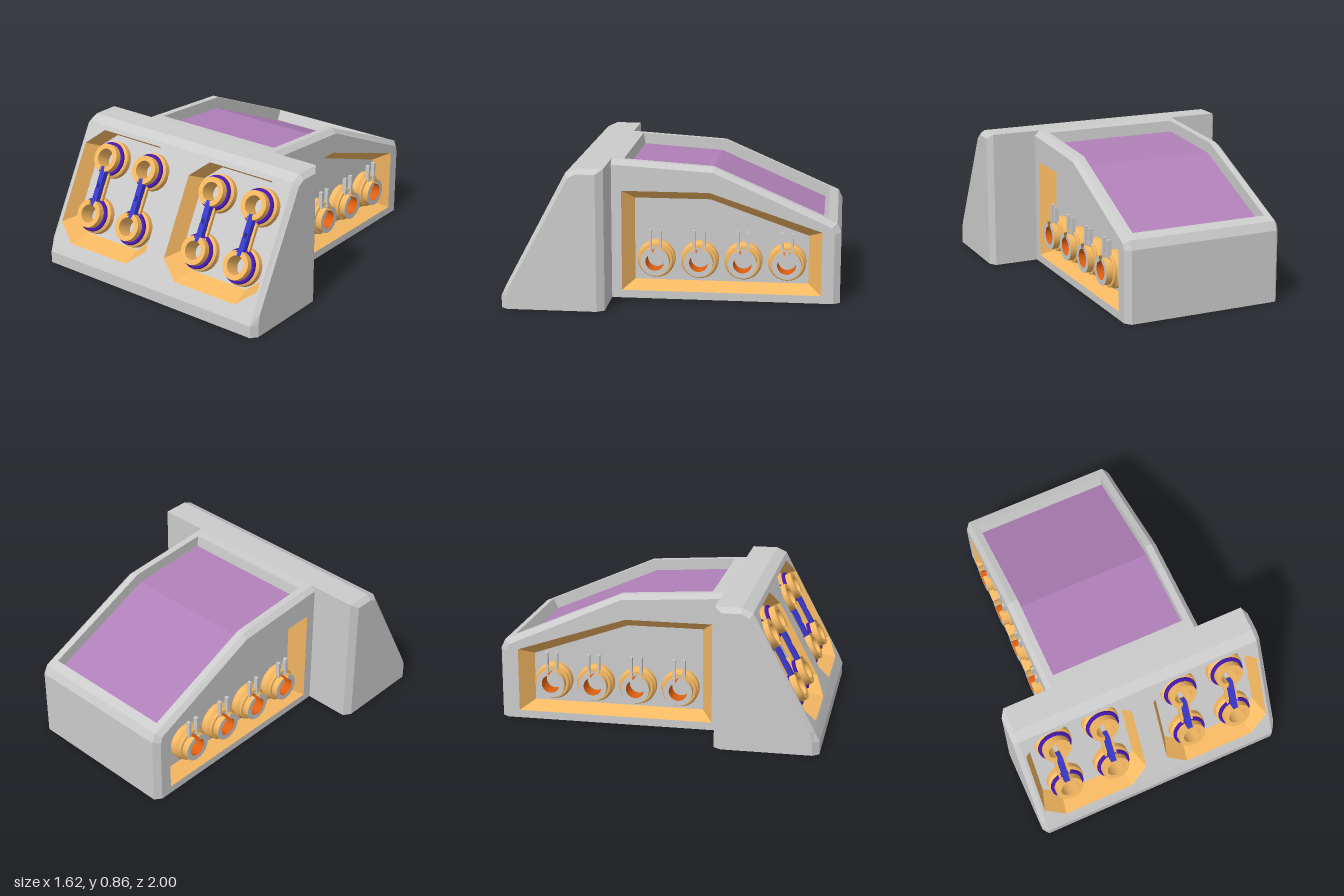
import * as THREE from 'three';

const mat = (color, flatShading = true) =>
  new THREE.MeshStandardMaterial({ color, flatShading, side: THREE.DoubleSide });
const grey = mat(0xcccccc), gold = mat(0xf5b862), purple = mat(0xb080b8);
const smoothGold = mat(0xf5b862, false), blue = mat(0x3a3ad0), indigo = mat(0x4418b0, false);
const orange = mat(0xe06010, false);

function add(parent, name, geometry, material) {
  const mesh = new THREE.Mesh(geometry, material);
  mesh.name = name;
  parent.add(mesh);
  return mesh;
}

// Surface through rows of [x, y, z] points; skip(row, column) leaves openings
function grid(rows, skip = () => false) {
  const pos = [];
  for (let i = 0; i < rows.length - 1; i++)
    for (let j = 0; j < rows[i].length - 1; j++) {
      if (skip(i, j)) continue;
      const a = rows[i][j], b = rows[i + 1][j], c = rows[i + 1][j + 1], d = rows[i][j + 1];
      pos.push(...a, ...b, ...c, ...a, ...c, ...d);
    }
  const g = new THREE.BufferGeometry();
  g.setAttribute('position', new THREE.Float32BufferAttribute(pos, 3));
  g.computeVertexNormals();
  return g;
}

// Flat outline with holes, carried into space by map(u, v) -> [x, y, z]
function plate(outline, holes, map) {
  const v2 = pts => pts.map(p => new THREE.Vector2(...p));
  const shape = new THREE.Shape(v2(outline));
  shape.holes = holes.map(h => new THREE.Path(v2(h)));
  const g = new THREE.ShapeGeometry(shape), p = g.attributes.position;
  for (let i = 0; i < p.count; i++) p.setXYZ(i, ...map(p.getX(i), p.getY(i)));
  g.computeVertexNormals();
  return g;
}

const closed = (pts, map) => [...pts, pts[0]].map(p => map(...p));

function octagon(cx, h, y0, y1, cutX, cutY) {
  return [[cx - h, y0 + cutY], [cx - h + cutX, y0], [cx + h - cutX, y0], [cx + h, y0 + cutY],
    [cx + h, y1 - cutY], [cx + h - cutX, y1], [cx - h + cutX, y1], [cx - h, y1 - cutY]];
}

// Ring collar along +z with a slot at the top
function collar(name, rimMat, boreMat, bandMat) {
  const g = new THREE.Group(), gap = 0.25;
  g.name = name;
  const lathe = (part, pts, material, slotted) => add(g, part,
    new THREE.LatheGeometry(pts.map(p => new THREE.Vector2(...p)), 40,
      slotted ? Math.PI + gap : 0, 2 * Math.PI - (slotted ? 2 * gap : 0)).rotateX(Math.PI / 2), material);
  lathe('collarBase', [[0.115, 0], [0.115, 0.035]], smoothGold);
  lathe('collarShoulder', [[0.115, 0.035], [0.1, 0.05]], smoothGold);
  lathe('collarBand', [[0.1, 0.05], [0.105, 0.054], [0.105, 0.066], [0.1, 0.07], [0.085, 0.07]], bandMat);
  lathe('collarSide', [[0.087, 0.05], [0.087, 0.11]], smoothGold, true);
  lathe('collarRim', [[0.087, 0.11], [0.056, 0.11]], rimMat, true);
  lathe('collarBore', [[0.056, 0.11], [0.056, 0]], boreMat, true);
  return g;
}

function bar(parent, name, w, h, d, x, y, z, material) {
  add(parent, name, new THREE.BoxGeometry(w, h, d), material).position.set(x, y, z);
}

// Two collars joined by rods and a windowed link
function linkedPair() {
  const g = new THREE.Group();
  g.name = 'linkedCollars';
  for (const s of [-1, 1]) {
    const ring = collar('collar', smoothGold, smoothGold, indigo);
    ring.position.y = s * 0.179;
    if (s > 0) ring.rotation.z = Math.PI;
    g.add(ring);
    bar(g, 'linkRod', 0.014, 0.2, 0.02, s * 0.031, 0, 0.06, gold);
    bar(g, 'linkBar', 0.036, 0.11, 0.035, 0, s * 0.07, 0.08, blue);
    bar(g, 'linkSide', 0.009, 0.04, 0.03, s * 0.014, 0, 0.08, blue);
  }
  return g;
}

function buildFrontBlock(root) {
  const g = new THREE.Group();
  g.name = 'frontBlock';
  root.add(g);
  // Profiles as [z, y]: full width and the bevelled ends
  const full = [[1, 0], [1, 0.075], [0.97, 0.14], [0.603, 0.826], [0.54, 0.855], [0.38, 0.855], [0.38, 0]];
  const end = [[0.96, 0], [0.96, 0.085], [0.945, 0.14], [0.585, 0.8], [0.54, 0.825], [0.425, 0.825], [0.425, 0]];
  const rows = full.map(([z, y], i) => [[-0.81, end[i][1], end[i][0]], [-0.78, y, z],
    [-0.47, y, z], [0.47, y, z], [0.78, y, z], [0.81, end[i][1], end[i][0]]]);
  add(g, 'blockShell', grid(rows, (i, j) => (i === 2 && j > 0 && j < 4) || (i === 5 && j === 2)), grey);
  for (const s of [-1, 1]) add(g, 'blockEnd', plate(end, [], (z, y) => [s * 0.81, y, z]), grey);

  // Sloping face with two octagonal recesses
  const face = (x, y) => [x, y, 0.97 - 0.535 * (y - 0.14)];
  const floor = (x, y) => [x, y, face(x, y)[2] - 0.117];
  const outer = s => octagon(s * 0.417, 0.346, 0.155, 0.8, 0.121, 0.097);
  const inner = s => octagon(s * 0.417, 0.306, 0.186, 0.745, 0.105, 0.083);
  add(g, 'slopingFace', plate([[-0.78, 0.14], [0.78, 0.14], [0.78, 0.826], [-0.78, 0.826]],
    [outer(-1), outer(1)], face), grey);
  for (const s of [-1, 1]) {
    add(g, 'frontRecessWall', grid([closed(outer(s), face), closed(inner(s), floor)]), gold);
    add(g, 'frontRecessPanel', plate(inner(s), [], floor), grey);
    for (const x of [0.26, 0.572]) {
      const pair = linkedPair();
      pair.position.set(s * x, 0.451, 0.686);
      pair.rotation.x = -0.4914;
      g.add(pair);
    }
  }
}

function buildBody(root) {
  const g = new THREE.Group();
  g.name = 'rearBody';
  root.add(g);
  // Top rim around the sunken panel, then the back wall
  const top = [[0.4, 0.855], [0.31, 0.85], [-0.235, 0.815], [-0.92, 0.517], [-0.975, 0.493], [-1, 0.44], [-1, 0]];
  const end = [[0.4, 0.825], [0.31, 0.82], [-0.235, 0.786], [-0.905, 0.487], [-0.945, 0.468], [-0.96, 0.43], [-0.96, 0]];
  const rows = top.map(([z, y], i) => [[-0.5, end[i][1], end[i][0]], [-0.47, y, z],
    [-0.428, y, z], [0.428, y, z], [0.47, y, z], [0.5, end[i][1], end[i][0]]]);
  add(g, 'bodyShell', grid(rows, (i, j) => (i === 1 || i === 2) && j === 2), grey);

  // Sunken top panel and its walls
  const low = [[0.3, 0.78], [-0.21, 0.746], [-0.89, 0.452]];
  const loop = pts => [...pts.map(([z, y]) => [-0.428, y, z]),
    ...pts.slice().reverse().map(([z, y]) => [0.428, y, z]), [-0.428, pts[0][1], pts[0][0]]];
  add(g, 'topRecessWall', grid([loop(top.slice(1, 4)), loop(low)]), grey);
  add(g, 'topPanel', grid(low.map(([z, y]) => [[-0.428, y, z], [0.428, y, z]])), purple);

  // Sides with a recess and four slotted collars each
  const outer = [[0.319, 0.048], [0.319, 0.665], [-0.212, 0.665], [-0.887, 0.44], [-0.887, 0.048]];
  const inner = [[0.249, 0.097], [0.249, 0.606], [-0.212, 0.606], [-0.807, 0.397], [-0.807, 0.097]];
  for (const s of [-1, 1]) {
    const at = x => (z, y) => [s * x, y, z];
    add(g, 'bodySide', plate([...end, [0.4, 0]], [outer], at(0.5)), grey);
    add(g, 'sideRecessWall', grid([closed(outer, at(0.5)), closed(inner, at(0.41))]), gold);
    add(g, 'sideRecessPanel', plate(inner, [], at(0.41)), grey);
    for (let i = 0; i < 4; i++) {
      const ring = collar('sideCollar', grey, orange, smoothGold);
      ring.position.set(s * 0.41, 0.236, 0.115 - i * 0.2645);
      ring.rotation.y = s * Math.PI / 2;
      for (const r of [-1, 1]) bar(ring, 'collarRod', 0.016, 0.12, 0.025, r * 0.031, 0.13, 0.07, grey);
      g.add(ring);
    }
  }
}

export function createModel() {
  const root = new THREE.Group();
  root.name = 'model';
  buildFrontBlock(root);
  buildBody(root);
  return root;
}
